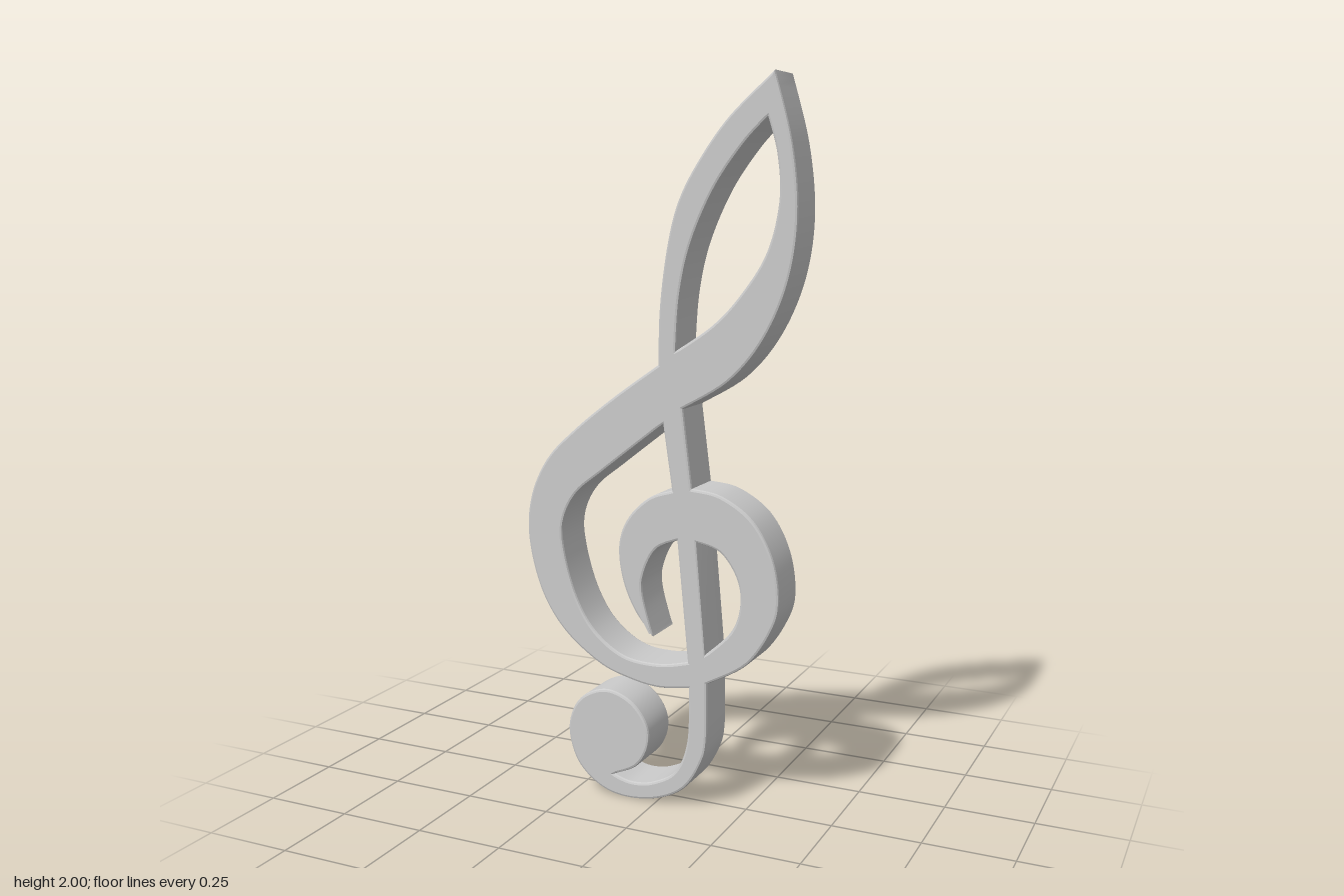
import * as THREE from 'three';
import { toCreasedNormals } from 'three/addons/utils/BufferGeometryUtils.js';

const DEPTH = 0.14;
const BEVEL = 0.007;
const STEPS = 6;

// Traces a closed contour: each run continues from the last point to a sharp
// corner, as a straight line (one point) or a smooth spline (several points).
function trace(path, start, runs) {
  path.moveTo(...start);
  for (const run of runs) {
    if (run.length === 1) path.lineTo(...run[0]);
    else path.splineThru(run.map(([x, y]) => new THREE.Vector2(x, y)));
  }
  return path;
}

// An opening is traced clockwise like the outline, then turned round so that
// its walls face into the opening.
function opening(start, runs) {
  return new THREE.Path(trace(new THREE.Path(), start, runs).getPoints(STEPS).reverse());
}

export function createModel() {
  // Outer silhouette, clockwise from the top tip
  const clef = trace(new THREE.Shape(), [0.333, 2], [
    // right side of the upper loop
    [[0.382, 1.82], [0.4, 1.64], [0.377, 1.475], [0.312, 1.325], [0.215, 1.21], [0.083, 1.13]],
    // right side of the stem
    [[0.11, 0.915]],
    // right side of the spiral
    [[0.195, 0.902], [0.285, 0.845], [0.342, 0.75], [0.363, 0.64], [0.347, 0.555], [0.275, 0.445], [0.157, 0.373]],
    // hook and ball
    [[0.157, 0.215], [0.14, 0.14], [0.09, 0.06], [0.01, 0.015], [-0.09, 0], [-0.175, 0.02], [-0.245, 0.08],
      [-0.274, 0.165], [-0.263, 0.235], [-0.222, 0.287], [-0.15, 0.313], [-0.075, 0.288], [-0.028, 0.23],
      [-0.022, 0.165], [-0.058, 0.1], [-0.13, 0.063]],
    // inside of the hook
    [[-0.075, 0.05], [-0.01, 0.06], [0.062, 0.105], [0.098, 0.2], [0.102, 0.353]],
    // left side of the big loop
    [[0.01, 0.342], [-0.08, 0.355], [-0.175, 0.388], [-0.287, 0.472], [-0.36, 0.583], [-0.398, 0.73],
      [-0.388, 0.855], [-0.335, 0.965], [-0.245, 1.055], [-0.125, 1.15], [0.01, 1.245]],
    // left side of the upper loop
    [[0.014, 1.395], [0.035, 1.555], [0.067, 1.675], [0.125, 1.78], [0.21, 1.89], [0.333, 2]],
  ]);

  clef.holes = [
    // inside the upper loop
    opening([0.062, 1.285], [
      [[0.073, 1.43], [0.104, 1.565], [0.168, 1.705], [0.247, 1.815], [0.316, 1.885]],
      [[0.342, 1.79], [0.348, 1.675], [0.316, 1.547], [0.247, 1.44], [0.168, 1.357], [0.062, 1.285]],
    ]),
    // between the big loop, the stem and the curled spiral end
    opening([0.025, 1.085], [
      [[0.051, 0.905]],
      [[-0.017, 0.88], [-0.08, 0.82], [-0.11, 0.745], [-0.102, 0.65], [-0.065, 0.56], [-0.007, 0.487]],
      [[-0.038, 0.6], [-0.033, 0.667], [0.004, 0.737], [0.067, 0.768]],
      [[0.099, 0.428]],
      [[0.01, 0.41], [-0.097, 0.42], [-0.187, 0.48], [-0.245, 0.57], [-0.282, 0.69], [-0.287, 0.783],
        [-0.245, 0.87], [-0.155, 0.945], [0.025, 1.085]],
    ]),
    // right of the stem inside the spiral
    opening([0.125, 0.768], [
      [[0.194, 0.747], [0.242, 0.68], [0.252, 0.605], [0.226, 0.53], [0.152, 0.457]],
      [[0.125, 0.768]],
    ]),
  ];

  // Thick plate with softly rounded edges
  const geometry = new THREE.ExtrudeGeometry(clef, {
    depth: DEPTH - 2 * BEVEL,
    curveSegments: STEPS,
    bevelSize: BEVEL,
    bevelThickness: BEVEL,
    bevelOffset: -BEVEL,
    bevelSegments: 2,
  });
  geometry.translate(0, 0, BEVEL - DEPTH / 2);

  const mesh = new THREE.Mesh(
    toCreasedNormals(geometry, 0.35),
    new THREE.MeshStandardMaterial({ color: 0xcccccc }),
  );
  mesh.name = 'trebleClef';

  const group = new THREE.Group();
  group.name = 'trebleClefOrnament';
  group.add(mesh);
  return group;
}
